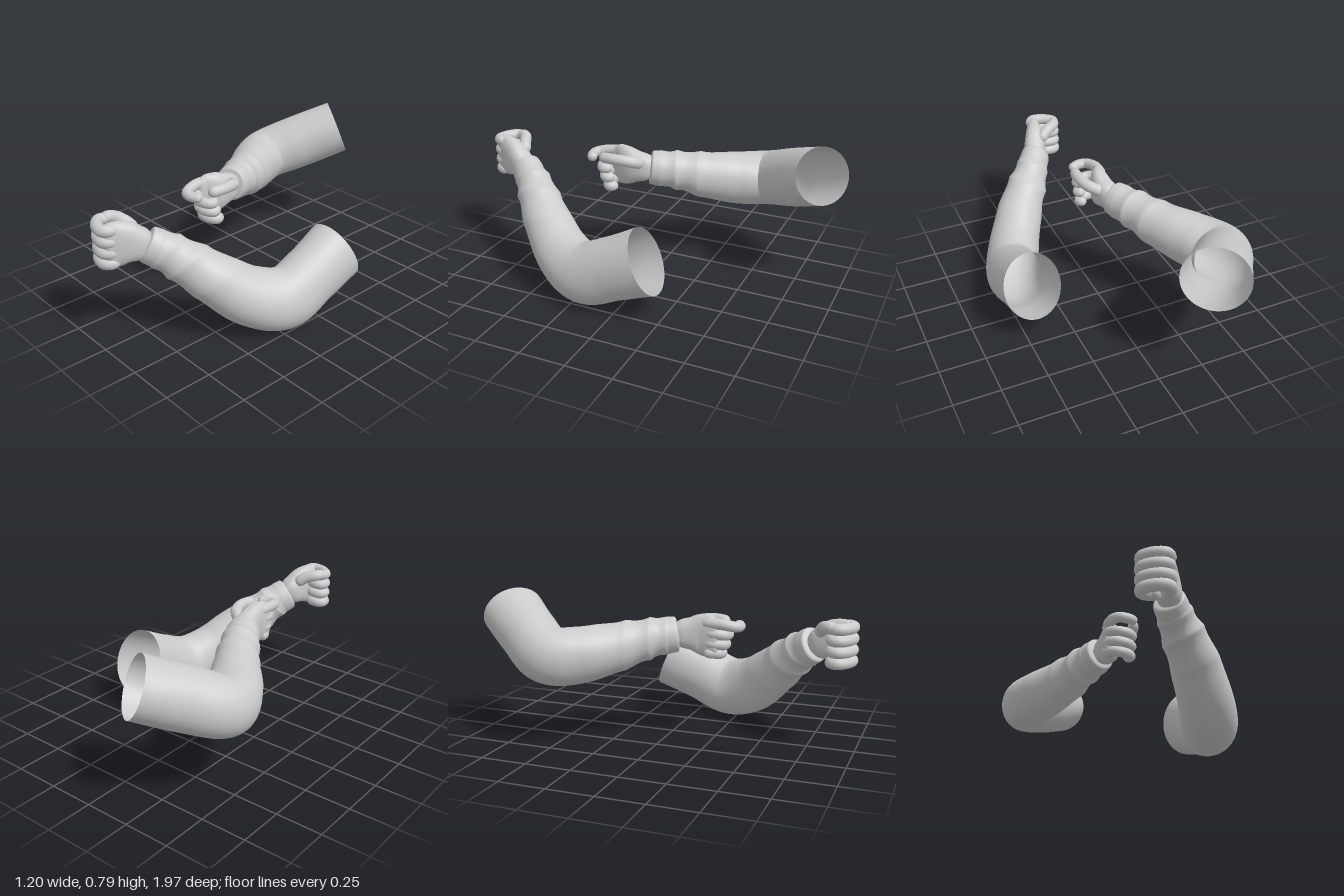
import * as THREE from 'three';

const UP = new THREE.Vector3(0, 1, 0);
const material = new THREE.MeshStandardMaterial({ color: 0xcccccc, side: THREE.DoubleSide });

// Lofts oval rings along sections [x, y, z, sideRadius, heightRadius].
// round closes both ends like a capsule; shape(t, angle) scales the radius.
function loft(name, sections, { rings = 40, sides = 24, from = 0, to = 1, round = false, square = 1, shape = () => 1 } = {}) {
  const path = new THREE.CatmullRomCurve3(sections.map(s => new THREE.Vector3(s[0], s[1], s[2])), false, 'catmullrom');
  const radii = new THREE.CatmullRomCurve3(sections.map(s => new THREE.Vector3(s[3], s[4], 0)), false, 'catmullrom');
  const length = path.getLength();
  const pos = [], index = [];
  for (let i = 0; i <= rings; i++) {
    const u = i / rings;
    const t = round ? (1 - Math.cos(Math.PI * u)) / 2 : from + (to - from) * u;
    const c = path.getPoint(t), r = radii.getPoint(t), tan = path.getTangent(t);
    const side = new THREE.Vector3().crossVectors(tan, UP).normalize();
    const v = new THREE.Vector3().crossVectors(side, tan);
    let cap = 1;
    if (round) {
      const k = Math.max(0, 1 - Math.min(t, 1 - t) * length / Math.min(r.x, r.y));
      cap = Math.max(0.02, Math.sqrt(1 - k * k));
    }
    for (let j = 0; j < sides; j++) {
      const a = j / sides * Math.PI * 2, m = cap * shape(t, a);
      const ca = Math.cos(a), sa = Math.sin(a);
      const p = c.clone()
        .addScaledVector(side, Math.sign(ca) * Math.abs(ca) ** square * r.x * m)
        .addScaledVector(v, Math.sign(sa) * Math.abs(sa) ** square * r.y * m);
      pos.push(p.x, p.y, p.z);
      if (i < rings) {
        const k = (j + 1) % sides, o = i * sides, n = o + sides;
        index.push(o + j, n + j, o + k, o + k, n + j, n + k);
      }
    }
  }
  const g = new THREE.BufferGeometry();
  g.setAttribute('position', new THREE.Float32BufferAttribute(pos, 3));
  g.setIndex(index);
  g.computeVertexNormals();
  const mesh = new THREE.Mesh(g, material);
  mesh.name = name;
  return mesh;
}

// Tapering rounded finger through a few points
const finger = (name, pts, r) => loft(name,
  pts.map((p, i) => [...p, r * (1 - 0.12 * i / (pts.length - 1)), r * (1 - 0.12 * i / (pts.length - 1))]),
  { rings: 32, sides: 14, round: true });

const bump = (t, mid, width) => Math.exp(-(((t - mid) / width) ** 2));

// Cloth folds: soft on the upper arm, diagonal ridges on the forearm
const folds = phase => (t, a) => {
  const ridge = 1 - 2 * Math.abs(Math.sin(Math.PI * 7 * t + 0.9 * Math.sin(a + phase) + phase));
  return 1 + 0.055 * bump(t, 0.74, 0.17) * ridge
    + 0.025 * bump(t, 0.38, 0.16) * Math.sin(3 * a + 9 * t + phase);
};

function arm(name, sleeve, phase, palm, fingers, thumb, radius) {
  const g = new THREE.Group();
  g.name = name;
  g.add(loft('sleeve', sleeve, { rings: 110, sides: 56, to: 0.915, shape: folds(phase) }));
  // Cuff with rolled edges, tucked in around the wrist
  g.add(loft('cuff', sleeve, {
    rings: 36, sides: 48, from: 0.875, to: 1,
    shape: t => {
      const u = (t - 0.875) / 0.125;
      return 0.64 + 0.36 * Math.sqrt(Math.max(0, 1 - Math.abs(2 * u - 1) ** 7));
    },
  }));
  g.add(loft('palm', palm, { rings: 40, sides: 32, round: true, square: 0.8 }));
  fingers.forEach((pts, i) => g.add(finger('finger' + (i + 1), pts, radius)));
  g.add(finger('thumb', thumb, radius * 1.08));
  return g;
}

export function createModel() {
  const model = new THREE.Group();
  model.name = 'arms';

  // Left arm: a closed fist held forward
  const fist = [0.664, 0.606, 0.548, 0.492].map((y, i) => [
    [0.045, y, 0.9], [0.012, y, 0.962], [-0.05, y, 0.955], [-0.1, y, 0.915],
    [-0.092, y, 0.875], ...(i ? [[-0.04, y, 0.872], [-0.015, y, 0.9]] : [[-0.075, y, 0.86]]),
  ]);
  model.add(arm('leftArm', [
    [0.445, 0.325, -0.165, 0.155, 0.18],
    [0.447, 0.245, 0.02, 0.148, 0.168],
    [0.432, 0.175, 0.2, 0.15, 0.168],
    [0.36, 0.225, 0.37, 0.142, 0.155],
    [0.255, 0.36, 0.53, 0.125, 0.13],
    [0.165, 0.455, 0.635, 0.106, 0.112],
    [0.11, 0.51, 0.705, 0.088, 0.1],
    [0.065, 0.548, 0.765, 0.08, 0.095],
  ], 0.6, [
    [0.085, 0.535, 0.73, 0.06, 0.07],
    [0.06, 0.56, 0.8, 0.062, 0.085],
    [0.038, 0.578, 0.86, 0.055, 0.11],
    [0.02, 0.58, 0.92, 0.042, 0.117],
    [0.005, 0.58, 0.97, 0.03, 0.105],
  ], fist, [
    [0.03, 0.61, 0.79], [-0.02, 0.65, 0.815], [-0.075, 0.668, 0.845], [-0.105, 0.668, 0.895],
  ], 0.032));

  // Right arm: loosely curled fingers with a bent index finger
  const curled = [[0.592, 0.35], [0.54, 0.335], [0.492, 0.315]].map(([y, z]) => [
    [-0.118, y + 0.01, 0.22], [-0.118, y + 0.008, z - 0.06], [-0.085, y, z - 0.022],
    [-0.03, y - 0.004, z - 0.025], [0.0, y - 0.006, z - 0.055], [-0.03, y, z - 0.085],
  ]);
  const index = [
    [-0.115, 0.655, 0.2], [-0.122, 0.655, 0.3], [-0.1, 0.642, 0.38],
    [-0.05, 0.638, 0.393], [0.005, 0.638, 0.365],
  ];
  model.add(arm('rightArm', [
    [-0.205, 0.66, -0.862, 0.17, 0.152],
    [-0.34, 0.575, -0.69, 0.155, 0.158],
    [-0.45, 0.502, -0.52, 0.152, 0.152],
    [-0.39, 0.5, -0.365, 0.14, 0.148],
    [-0.28, 0.53, -0.205, 0.12, 0.13],
    [-0.205, 0.562, -0.085, 0.105, 0.11],
    [-0.155, 0.578, 0.0, 0.094, 0.1],
    [-0.12, 0.587, 0.075, 0.086, 0.094],
  ], 2.2, [
    [-0.125, 0.585, 0.03, 0.06, 0.07],
    [-0.1, 0.59, 0.12, 0.058, 0.082],
    [-0.095, 0.59, 0.19, 0.052, 0.108],
    [-0.11, 0.585, 0.25, 0.036, 0.112],
    [-0.118, 0.585, 0.3, 0.026, 0.09],
  ], [index, ...curled], [
    [-0.075, 0.62, 0.1], [-0.01, 0.645, 0.145], [0.015, 0.655, 0.23], [0.002, 0.65, 0.32],
  ], 0.03));

  return model;
}
